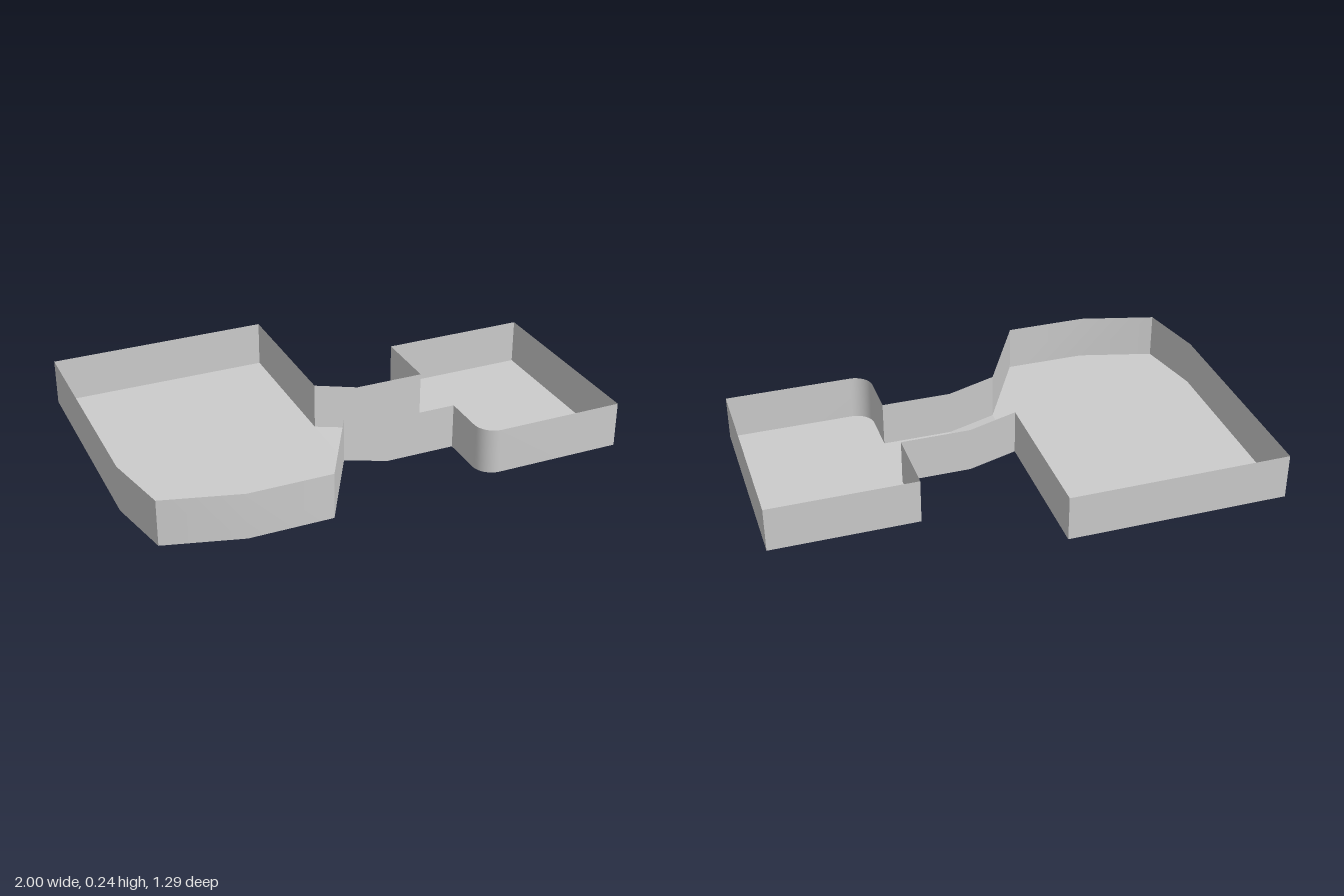
import * as THREE from 'three';
import { toCreasedNormals } from 'three/addons/utils/BufferGeometryUtils.js';

const WALL = 0.19, LIFT = 0.048;
const RAMP_START = -0.09, RAMP_END = 0.1;
const BACK = -0.015, FRONT = 0.28; // passage sides

// Floor height: raised basin, sloping passage, lower basin
const floorY = (x) => LIFT * (1 - THREE.MathUtils.clamp((x - RAMP_START) / (RAMP_END - RAMP_START), 0, 1));

// Rounded front corner of the lower basin, from its front edge to its inner side
function roundedCorner(cx, cz, r, steps) {
  return Array.from({ length: steps + 1 }, (_, i) => {
    const a = Math.PI / 2 * (1 + i / steps);
    return [cx + r * Math.cos(a), cz + r * Math.sin(a)];
  });
}

// Flat outline in [x, z] laid down and lifted onto the floor height
function floorGeometry(points) {
  const shape = new THREE.Shape(points.map(([x, z]) => new THREE.Vector2(x, -z)));
  const geo = new THREE.ShapeGeometry(shape).rotateX(-Math.PI / 2);
  const p = geo.attributes.position;
  for (let i = 0; i < p.count; i++) p.setY(i, floorY(p.getX(i)));
  geo.computeVertexNormals();
  return geo;
}

// Thin wall following a closed outline, one quad per edge
function wallGeometry(points) {
  const pos = [];
  points.forEach(([x0, z0], i) => {
    const [x1, z1] = points[(i + 1) % points.length];
    const a = [x0, floorY(x0), z0], b = [x1, floorY(x1), z1];
    const c = [x1, b[1] + WALL, z1], d = [x0, a[1] + WALL, z0];
    pos.push(...a, ...c, ...b, ...a, ...d, ...c);
  });
  const geo = new THREE.BufferGeometry();
  geo.setAttribute('position', new THREE.Float32BufferAttribute(pos, 3));
  return toCreasedNormals(geo, Math.PI / 7);
}

export function createModel() {
  const group = new THREE.Group();
  group.name = 'twoLevelTray';
  const material = new THREE.MeshStandardMaterial({ color: 0xcccccc, side: THREE.DoubleSide });
  const add = (name, geo) => {
    const mesh = new THREE.Mesh(geo, material);
    mesh.name = name;
    group.add(mesh);
  };

  // Outlines run clockwise seen from above, starting at the back of the passage
  const upper = [
    [RAMP_START, FRONT], [-0.29, 0.645], [-0.63, 0.645], [-0.94, 0.56],
    [-1, 0.28], [-1, -0.647], [RAMP_START, -0.647], [RAMP_START, BACK],
  ];
  const lower = [
    [0.39, BACK], [0.39, -0.302], [1, -0.302], [1, 0.532],
    ...roundedCorner(0.47, 0.452, 0.08, 8), [0.39, FRONT],
  ];
  const rampBack = [RAMP_END, BACK], rampFront = [RAMP_END, FRONT];

  // Floors
  add('upperFloor', floorGeometry(upper));
  add('rampFloor', floorGeometry([upper[7], rampBack, rampFront, upper[0]]));
  add('lowerFloor', floorGeometry([rampBack, ...lower, rampFront]));

  // Continuous wall around both basins and the passage
  add('outerWall', wallGeometry([...upper, rampBack, ...lower, rampFront]));
  return group;
}
